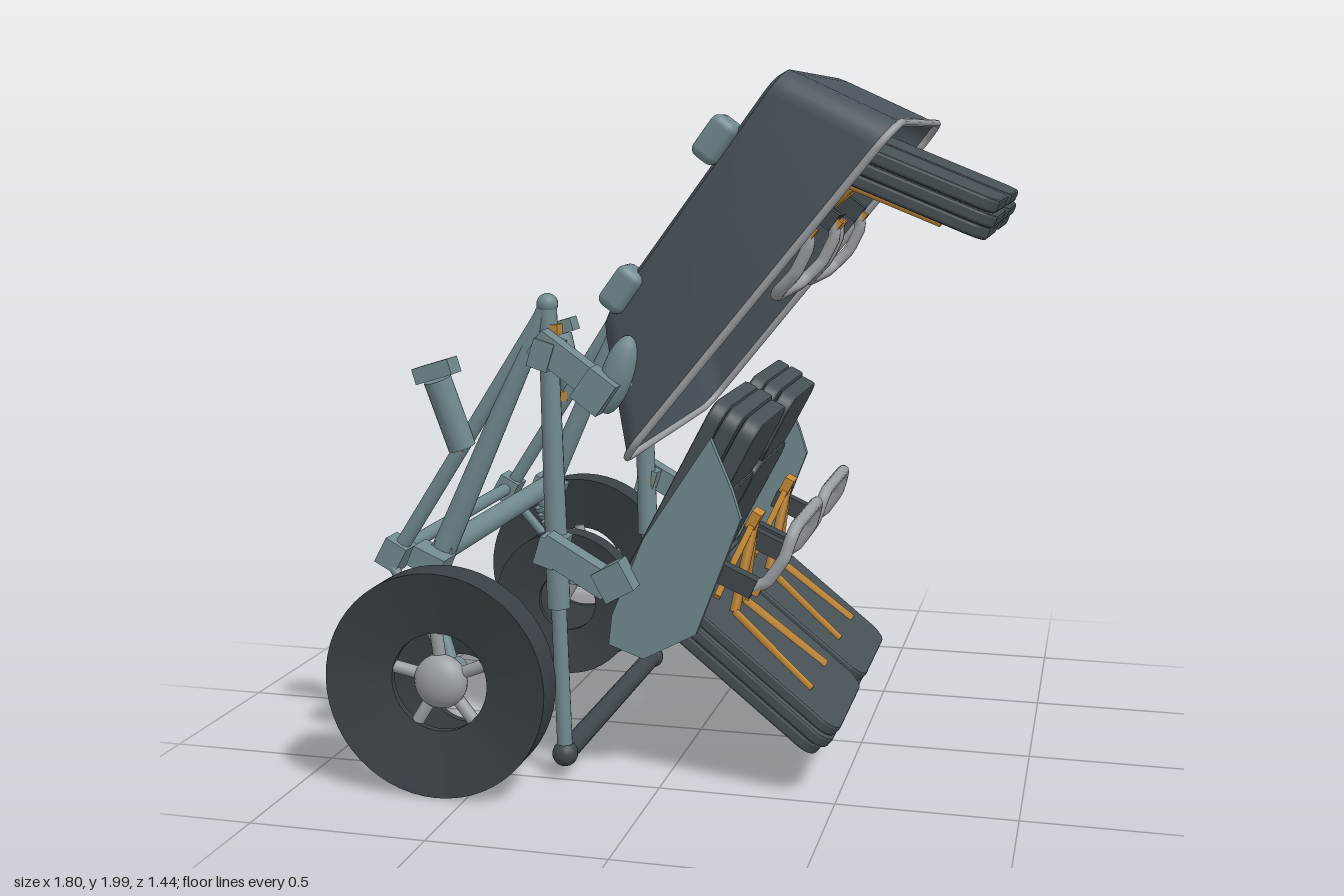
import * as THREE from 'three';
import { toCreasedNormals } from 'three/addons/utils/BufferGeometryUtils.js';
import { RoundedBoxGeometry } from 'three/addons/geometries/RoundedBoxGeometry.js';

const mat = (name, color, side = THREE.FrontSide) => {
  const m = new THREE.MeshStandardMaterial({ color, side });
  m.name = name;
  return m;
};
const M = {
  shell: mat('shell grey', 0x49535a, THREE.DoubleSide),
  seat: mat('seat grey', 0x465055),
  frame: mat('frame blue grey', 0x718a8f),
  dark: mat('dark metal', 0x3f474c),
  tyre: mat('tyre black', 0x394045),
  steel: mat('light steel', 0x9a9fa3),
  strap: mat('strap orange', 0xc48a37),
};
const V = (x, y, z = 0) => new THREE.Vector3(x, y, z);
const rad = THREE.MathUtils.degToRad;

function add(parent, name, geo, material, pos = V(0, 0), rotZ = 0) {
  const m = new THREE.Mesh(geo, material);
  m.name = name;
  m.position.copy(pos);
  m.rotation.z = rotZ;
  parent.add(m);
  return m;
}

// Straight member between two points, r0 at a and r1 at b
function rod(parent, name, material, a, b, r0, r1 = r0, sides = 16) {
  const m = add(parent, name, new THREE.CylinderGeometry(r1, r0, a.distanceTo(b), sides), material, a.clone().lerp(b, 0.5));
  m.quaternion.setFromUnitVectors(V(0, 1), b.clone().sub(a).normalize());
  return m;
}

// Padded slab: length on x, thickness on y, width on z, rounded corners
function cushion(l, t, w, r = 0.05, b = 0.008) {
  const x = l / 2 - b, y = w / 2 - b, s = new THREE.Shape();
  s.moveTo(-x + r, -y).lineTo(x - r, -y).absarc(x - r, -y + r, r, -Math.PI / 2, 0);
  s.lineTo(x, y - r).absarc(x - r, y - r, r, 0, Math.PI / 2);
  s.lineTo(-x + r, y).absarc(-x + r, y - r, r, Math.PI / 2, Math.PI);
  s.lineTo(-x, -y + r).absarc(-x + r, -y + r, r, Math.PI, Math.PI * 1.5);
  const g = new THREE.ExtrudeGeometry(s, { depth: t - 2 * b, bevelSize: b, bevelThickness: b, bevelSegments: 2, curveSegments: 6 });
  return g.translate(0, 0, -t / 2 + b).rotateX(-Math.PI / 2);
}

// Rounded rectangle ring for the shell sections; depth grows towards the top end
const depthAt = (n, u) => n * (0.855 + 0.145 * u);
function ring(n, u0, u1, hz, r) {
  const pts = [];
  [[u1 - r, hz - r], [u0 + r, hz - r], [u0 + r, r - hz], [u1 - r, r - hz]].forEach(([cu, cz], k) => {
    for (let i = 0; i <= 6; i++) {
      const a = (k + i / 6) * Math.PI / 2, u = cu + r * Math.cos(a);
      pts.push(V(u, depthAt(n, u), cz + r * Math.sin(a)));
    }
  });
  return pts;
}

function buildShell() {
  const g = new THREE.Group();
  g.name = 'canopyShell';
  const rings = [
    ring(0, 0, 1.18, 0.522, 0.085),
    ring(0.29, 0.215, 1.105, 0.492, 0.08),
    ring(0.318, 0.24, 1.096, 0.484, 0.075),
    ring(0.33, 0.27, 1.07, 0.46, 0.06),
  ];
  const N = rings[0].length, pos = [], idx = [];
  rings.forEach(r => r.forEach(p => pos.push(p.x, p.y, p.z)));
  for (let j = 0; j < rings.length - 1; j++) for (let i = 0; i < N; i++) {
    const a = j * N + i, b = j * N + (i + 1) % N;
    idx.push(a, a + N, b, b, a + N, b + N);
  }
  const c = pos.length / 3, last = (rings.length - 1) * N;
  pos.push(0.67, depthAt(0.33, 0.67), 0);
  for (let i = 0; i < N; i++) idx.push(last + i, c, last + (i + 1) % N);
  const geo = new THREE.BufferGeometry();
  geo.setAttribute('position', new THREE.Float32BufferAttribute(pos, 3));
  geo.setIndex(idx);
  add(g, 'tub', toCreasedNormals(geo, 0.6), M.shell);
  const edge = new THREE.CatmullRomCurve3(rings[0], true, 'catmullrom', 0.1);
  add(g, 'rimTrim', new THREE.TubeGeometry(edge, 120, 0.011, 8, true), M.steel);
  for (const s of [-1, 1]) {
    for (const [u, n] of [[0.838, 0.35], [0.362, 0.3]])
      add(g, 'roofPad', new RoundedBoxGeometry(0.13, 0.08, 0.11, 3, 0.025), M.frame, V(u, n, s * 0.46), 0.05);
    const oval = add(g, 'mountPlate', new THREE.SphereGeometry(1, 24, 12), M.frame, V(0.178, 0.16, s * 0.505), 0.35);
    oval.scale.set(0.115, 0.045, 0.04);
    const inner = add(g, 'innerMount', new THREE.BoxGeometry(0.19, 0.08, 0.025), M.frame, V(0.27, 0.15, s * 0.475));
    inner.rotation.y = s * 0.25;
  }
  g.position.set(-0.1, 0.935, 0);
  g.rotation.z = rad(51);
  return g;
}

// A pair of seats with harness straps and lap bars; slim ones fit in the shell
function buildSeats(slim) {
  const g = new THREE.Group();
  g.name = 'seatPair';
  const pa = rad(-39), ba = rad(62.5), k = slim ? 0.9 : 1;
  const pan = (along, up, z) => V(0.465 - 0.777 * along + 0.629 * up, 0.165 + 0.629 * along + 0.777 * up, z);
  const back = (down, out, z) => V(0.215 - 0.462 * down + 0.887 * out, 1.08 - 0.887 * down - 0.462 * out, z);
  for (const zc of [-0.25, 0.25]) {
    const zs = zc * (slim ? 0.97 : 1);
    add(g, 'seatBase', cushion(0.56, 0.038, 0.47 * k), M.seat, pan(0.275, -0.04, zs), pa);
    add(g, 'seatMiddle', cushion(0.58, 0.036, 0.485 * k), M.seat, pan(0.275, -0.002, zs), pa);
    add(g, 'seatCushion', cushion(0.56, 0.036, 0.46 * k), M.seat, pan(0.27, 0.034, zs), pa);
    if (slim) {
      add(g, 'backCushion', cushion(0.58, 0.05, 0.44), M.seat, back(0.3, 0.04, zs), ba);
    } else {
      add(g, 'backBase', cushion(0.62, 0.044, 0.45), M.seat, back(0.315, -0.047, zc), ba);
      add(g, 'backMiddle', cushion(0.62, 0.048, 0.46), M.seat, back(0.315, 0, zc), ba);
      add(g, 'headCushion', cushion(0.23, 0.05, 0.41), M.seat, back(0.125, 0.05, zc), ba);
      add(g, 'backCushion', cushion(0.44, 0.06, 0.475), M.seat, back(0.455, 0.05, zc), ba);
    }
    // harness
    const apex = V(0.22, 0.735, zc);
    add(g, 'buckle', new THREE.BoxGeometry(0.05, 0.03, 0.065), M.strap, apex, ba);
    for (const s of [-1, 1]) {
      const bend = V(0.175, 0.475, zc + s * 0.065);
      rod(g, 'lapStrap', M.strap, apex, bend, 0.015, 0.015, 4);
      rod(g, 'legStrap', M.strap, bend, V(0.408, 0.28, zc + s * 0.115), 0.015, 0.015, 4);
      rod(g, 'sideStrap', M.strap, apex, V(0.16, 0.56, zc + s * 0.225), 0.013, 0.013, 4);
      add(g, 'barArm', new THREE.BoxGeometry(0.14, 0.055, 0.045), M.dark, V(0.2, 0.617, zc + s * 0.215), -0.42);
      add(g, 'barPin', new THREE.BoxGeometry(0.02, 0.03, 0.03), M.strap, V(0.272, 0.585, zc + s * 0.215), -0.42);
    }
    // lap bar
    const half = [[0.26, 0.59, 0.215], [0.3, 0.61, 0.215], [0.345, 0.675, 0.212], [0.362, 0.73, 0.198], [0.37, 0.757, 0.155]];
    const pts = [...half.map(p => V(p[0], p[1], zc - p[2])), ...half.reverse().map(p => V(p[0], p[1], zc + p[2]))];
    add(g, 'lapBar', new THREE.TubeGeometry(new THREE.CatmullRomCurve3(pts, false, 'catmullrom', 0.15), 48, 0.018, 10), M.steel);
  }
  // panel joining the two backs
  if (!slim) add(g, 'backPanel', cushion(0.58, 0.03, 0.95), M.seat, back(0.35, -0.045, 0), ba);
  return g;
}

// Tyre dished on both faces: outer radius, hole radius, half width, half width at the hole
function tyre(parent, name, r, hole, hw, hh, pos) {
  const prof = [[hole, -hh], [r, -hw], [r, hw], [hole, hh], [hole, -hh]];
  const geo = new THREE.LatheGeometry(prof.map(p => new THREE.Vector2(...p)), 56).rotateX(Math.PI / 2);
  add(parent, name, toCreasedNormals(geo, 0.5), M.tyre, pos);
}

function buildWheel(s) {
  const g = new THREE.Group();
  g.name = 'wheel';
  tyre(g, 'outerTyre', 0.32, 0.14, 0.052, 0.01, V(0, 0, 0));
  tyre(g, 'innerTyre', 0.245, 0.1, 0.037, 0.01, V(0, -0.075, -s * 0.189));
  add(g, 'hub', new THREE.SphereGeometry(0.077, 24, 16), M.steel, V(0, 0, -s * 0.005)).scale.z = 0.65;
  for (let i = 0; i < 5; i++) {
    const a = rad(95 + i * 72);
    rod(g, 'spoke', M.steel, V(0, 0, -s * 0.02), V(0.15 * Math.cos(a), 0.15 * Math.sin(a), -s * 0.008), 0.018);
  }
  rod(g, 'axle', M.steel, V(0, 0, 0), V(0, 0, -s * 0.12), 0.016);
  g.position.set(-0.583, 0.321, s * 0.667);
  return g;
}

function buildFrameSide(s) {
  const g = new THREE.Group();
  g.name = 'frameSide';
  const z = s * 0.475, apex = V(-0.32, 1.36, z);
  // A-frame legs
  add(g, 'apexJoint', new THREE.SphereGeometry(0.03, 16, 12), M.frame, apex);
  rod(g, 'frontLeg', M.frame, apex, V(-0.298, 0.5, z), 0.026, 0.033);
  rod(g, 'frontLegLower', M.frame, V(-0.298, 0.5, z), V(-0.285, 0.07, z), 0.022);
  add(g, 'footBall', new THREE.SphereGeometry(0.037, 16, 12), M.dark, V(-0.285, 0.07, z));
  rod(g, 'rearLeg', M.frame, apex, V(-0.65, 0.63, z), 0.024, 0.036);
  rod(g, 'rearBrace', M.frame, V(-0.335, 1.33, z), V(-0.79, 0.62, z), 0.022);
  add(g, 'braceBlock', new THREE.BoxGeometry(0.07, 0.08, 0.08), M.frame, V(-0.79, 0.63, z), -0.5);
  add(g, 'legBlock', new THREE.BoxGeometry(0.1, 0.06, 0.09), M.frame, V(-0.66, 0.63, z + s * 0.05), -0.4);
  for (const [x, y] of [[-0.293, 0.68], [-0.3, 1.29], [-0.585, 0.955]])
    add(g, 'collar', new THREE.BoxGeometry(0.03, 0.03, 0.045), M.strap, V(x, y, z));
  // wheel strut and its coil
  const top = V(-0.7, 0.63, s * 0.51), low = V(-0.583, 0.321, s * 0.565);
  rod(g, 'wheelStrut', M.frame, top, low, 0.02);
  for (let i = 0; i < 4; i++) {
    const t = 0.2 + i * 0.08;
    rod(g, 'coil', M.frame, top.clone().lerp(low, t), top.clone().lerp(low, t + 0.045), 0.037);
  }
  rod(g, 'strutFoot', M.frame, V(-0.583, 0.321, s * 0.55), V(-0.583, 0.321, s * 0.59), 0.04);
  rod(g, 'wheelLink', M.frame, V(-0.79, 0.6, s * 0.5), low, 0.015);
  // raised block on a short post
  rod(g, 'post', M.frame, V(-0.565, 0.955, s * 0.51), V(-0.62, 1.15, s * 0.545), 0.039);
  add(g, 'postHead', new THREE.BoxGeometry(0.11, 0.045, 0.075), M.frame, V(-0.622, 1.175, s * 0.545), 0.3);
  // arms to the shell and the lower seats
  add(g, 'upperArm', new THREE.BoxGeometry(0.23, 0.075, 0.06), M.frame, V(-0.235, 1.2, s * 0.54), -0.62);
  add(g, 'upperClamp', new THREE.BoxGeometry(0.09, 0.1, 0.075), M.frame, V(-0.16, 1.135, s * 0.545), -0.62);
  add(g, 'upperHinge', new THREE.BoxGeometry(0.06, 0.08, 0.12), M.frame, V(-0.31, 1.23, s * 0.515), -0.3);
  add(g, 'lowerArm', new THREE.BoxGeometry(0.22, 0.075, 0.06), M.frame, V(-0.22, 0.645, s * 0.545), -0.52);
  add(g, 'lowerClamp', new THREE.BoxGeometry(0.09, 0.09, 0.075), M.frame, V(-0.11, 0.61, s * 0.545), 0.5);
  add(g, 'lowerHinge', new THREE.BoxGeometry(0.06, 0.08, 0.12), M.frame, V(-0.3, 0.68, s * 0.515), -0.3);
  // side plate of the lower seats
  const out = [[0.15, 1.01], [0.21, 0.87], [0.235, 0.79], [0.11, 0.46], [-0.04, 0.38], [-0.14, 0.415], [-0.13, 0.5], [-0.04, 0.72]];
  const plate = new THREE.Shape(out.map(p => new THREE.Vector2(...p)));
  add(g, 'seatSidePlate', new THREE.ExtrudeGeometry(plate, { depth: 0.025, bevelEnabled: false }), M.frame, V(0, 0, s * 0.505 - 0.0125));
  return g;
}

export function createModel() {
  const model = new THREE.Group();
  model.name = 'folding seat carriage';
  model.add(buildShell());

  const lower = buildSeats(false);
  lower.name = 'lowerSeats';
  model.add(lower);

  // the same seats turned upside down inside the shell
  const upper = buildSeats(true);
  upper.name = 'upperSeats';
  upper.rotation.set(Math.PI, 0, rad(61));
  upper.position.set(-0.465, -0.165, 0).applyEuler(upper.rotation).add(V(0.873, 1.597));
  model.add(upper);

  for (const s of [-1, 1]) model.add(buildFrameSide(s), buildWheel(s));

  // tubes joining the two sides
  rod(model, 'footTube', M.dark, V(-0.285, 0.07, -0.48), V(-0.285, 0.07, 0.48), 0.03);
  rod(model, 'mainCrossTube', M.frame, V(-0.64, 0.65, -0.5), V(-0.64, 0.65, 0.5), 0.034);
  rod(model, 'rearCrossTube', M.frame, V(-0.79, 0.63, -0.5), V(-0.79, 0.63, 0.5), 0.021);
  return model;
}
